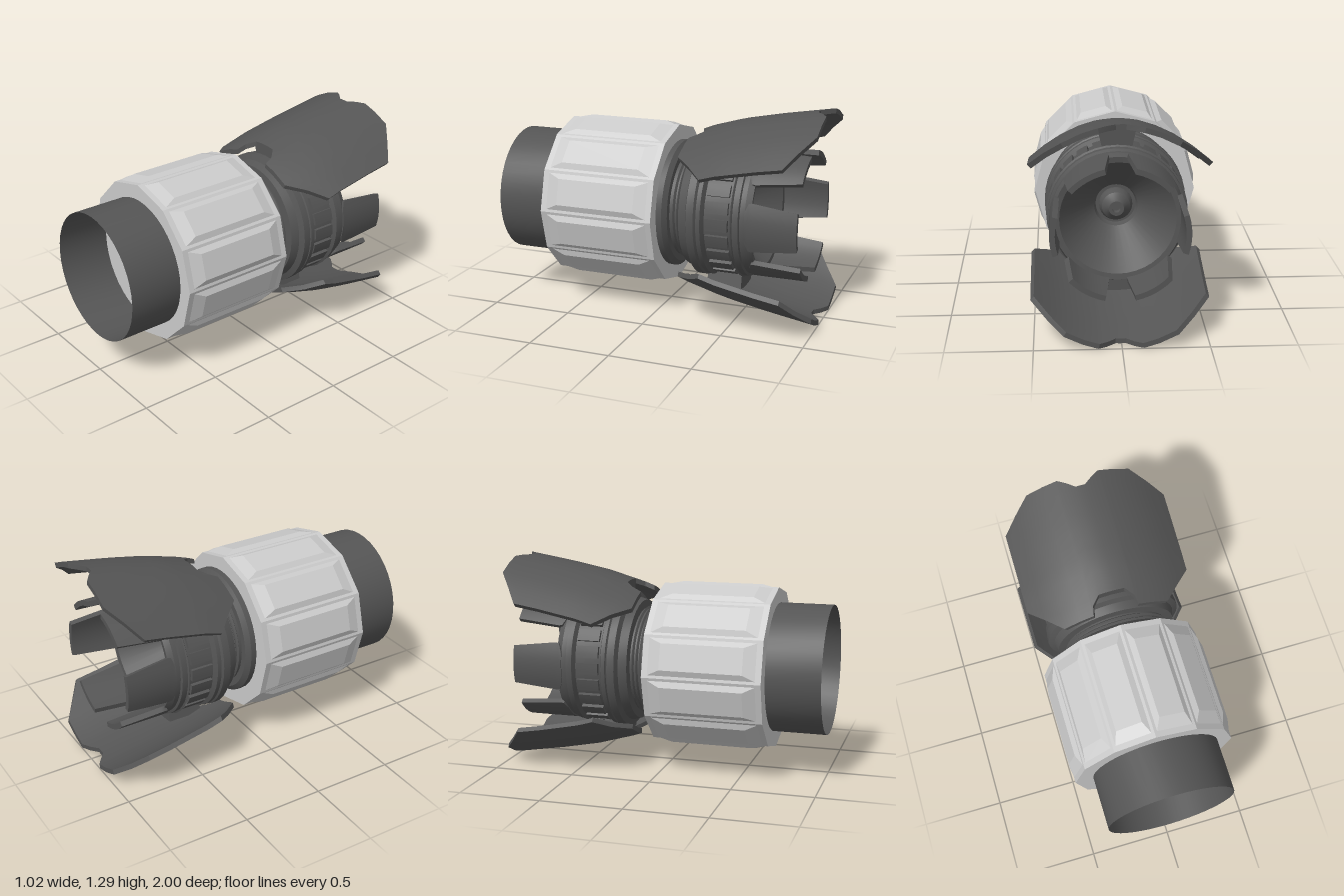
import * as THREE from 'three';
import { toCreasedNormals } from 'three/addons/utils/BufferGeometryUtils.js';

const dark = new THREE.MeshStandardMaterial({ color: 0x555555, side: THREE.DoubleSide });
const light = new THREE.MeshStandardMaterial({ color: 0xcccccc, flatShading: true });

// Piecewise-linear lookup in a list of [key, value] with rising keys
function lookup(table, k) {
  for (let i = 1; i < table.length; i++) {
    const [a, va] = table[i - 1], [b, vb] = table[i];
    if (k <= b) return THREE.MathUtils.lerp(va, vb, Math.max(0, (k - a) / (b - a)));
  }
  return table[table.length - 1][1];
}

function add(parent, name, geometry, material = dark) {
  const mesh = new THREE.Mesh(geometry, material);
  mesh.name = name;
  parent.add(mesh);
  return mesh;
}

// Solid of revolution about z from [radius, z] points
function turned(points, segments = 40) {
  const g = new THREE.LatheGeometry(points.map(([r, z]) => new THREE.Vector2(r, z)), segments);
  return toCreasedNormals(g.rotateX(Math.PI / 2), 0.4);
}

// Solid plate: place(u, v, layer) maps a unit box to [x, y, z]
function plate(nu, nv, place) {
  const g = new THREE.BoxGeometry(1, 1, 1, nu, 1, nv);
  const p = g.attributes.position;
  for (let i = 0; i < p.count; i++) {
    p.setXYZ(i, ...place(p.getX(i) + 0.5, p.getZ(i) + 0.5, p.getY(i) + 0.5));
  }
  return toCreasedNormals(g, 0.45);
}

// Plate wrapped around the z axis, centred on the upward direction
function wrapped(halfAngle, z0, z1, r0, r1, nu = 6, nv = 1) {
  return plate(nu, nv, (u, v, layer) => {
    const z = THREE.MathUtils.lerp(z0, z1, v);
    const a = (u * 2 - 1) * halfAngle(v), r = THREE.MathUtils.lerp(r0, r1, layer);
    return [r * Math.sin(a), r * Math.cos(a), z];
  });
}

// Flared guard: notched outline, arched across and swept outward to the rear
function guardGeometry() {
  const half = [0.03, 0.08, 0.128, 0.14, 0.22, 0.325, 0.42, 0.51];
  const xs = [...half.map(x => -x).reverse(), 0, ...half];
  const front = [[0, -0.27], [0.08, -0.27], [0.128, -0.22], [0.14, -0.165], [0.325, -0.165], [0.51, -0.36]];
  const back = [[0, -0.93], [0.03, -0.93], [0.12, -1], [0.33, -1], [0.51, -0.85]];
  const crown = [[0.16, 0.465], [0.21, 0.485], [0.36, 0.528], [0.45, 0.555], [0.7, 0.605], [1, 0.655]];
  const bend = 0.88, thick = 0.03;
  return plate(xs.length - 1, 10, (u, v, layer) => {
    const x = xs[Math.round(u * (xs.length - 1))], ax = Math.abs(x);
    const z = THREE.MathUtils.lerp(lookup(back, ax), lookup(front, ax), v);
    const slope = 2 * bend * x, inset = (1 - layer) * thick / Math.hypot(slope, 1);
    return [x - slope * inset, lookup(crown, -z) - bend * x * x - inset, z];
  });
}

// Faceted twelve-sided sleeve with a bevelled raised panel on every side
function sleeve() {
  const g = new THREE.Group();
  g.name = 'sleeve';
  g.position.set(-0.01, -0.005, 0);
  const body = new THREE.CylinderGeometry(0.497, 0.497, 0.72, 12).rotateX(Math.PI / 2);
  add(g, 'sleeveBody', body.translate(0, 0, 0.31), light);
  const panel = new THREE.BoxGeometry(2, 1, 2);
  const p = panel.attributes.position;
  for (let i = 0; i < p.count; i++) {
    const top = p.getY(i) > 0;
    p.setXYZ(i, p.getX(i) * (top ? 0.08 : 0.116), top ? 0.501 : 0.477, 0.31 + p.getZ(i) * (top ? 0.25 : 0.335));
  }
  for (let i = 0; i < 12; i++) {
    add(g, 'sleevePanel', panel, light).rotation.z = (i + 0.5) * Math.PI / 6;
  }
  return g;
}

export function createModel() {
  const model = new THREE.Group();
  model.name = 'thruster';
  const axis = new THREE.Group();
  axis.name = 'mainAxis';
  axis.position.set(0.005, 0.65, 0);
  model.add(axis);

  axis.add(sleeve());

  // Open front tube
  add(axis, 'frontTube', turned([[0.395, 0.65], [0.395, 1]]));

  // Rear body: funnel, rim, belt recess, threaded neck and collar in one profile
  add(axis, 'rearBody', turned([
    [0, -0.34], [0.12, -0.34], [0.13, -0.38], [0.34, -0.63], [0.375, -0.635],
    [0.39, -0.6], [0.39, -0.57], [0.405, -0.565], [0.405, -0.53], [0.415, -0.525],
    [0.385, -0.51], [0.385, -0.35], [0.42, -0.335], [0.42, -0.31], [0.41, -0.305],
    [0.425, -0.295], [0.425, -0.25], [0.39, -0.235], [0.375, -0.185], [0.325, -0.18],
    [0.325, -0.17], [0.338, -0.162], [0.325, -0.154], [0.325, -0.145], [0.338, -0.137],
    [0.325, -0.129], [0.325, -0.11], [0.365, -0.11], [0.395, -0.085], [0.395, -0.04],
  ]));

  // Nozzle inside the funnel
  add(axis, 'nozzle', turned([
    [0, -0.41], [0.025, -0.41], [0.025, -0.45], [0.045, -0.45], [0.055, -0.43],
    [0.085, -0.4], [0.1, -0.36], [0.1, -0.33],
  ], 24));

  // Blocks in the belt recess
  const block = wrapped(() => 0.09, -0.5, -0.36, 0.37, 0.405, 3);
  for (let i = 0; i < 24; i++) add(axis, 'beltBlock', block).rotation.z = i * Math.PI / 12;

  // Six tapered rear fins
  const finAngles = [[0, 0.3], [0.88, 0.385], [0.95, 0.37], [1, 0.24]];
  const fin = wrapped(v => lookup(finAngles, v), -0.915, -0.6, 0.365, 0.397, 6, 16);
  for (let i = 0; i < 6; i++) add(axis, 'rearFin', fin).rotation.z = Math.PI / 6 + i * Math.PI / 3;

  // Upper and lower guards with their mounts
  const guard = guardGeometry();
  const mount = wrapped(() => 0.22, -0.5, -0.28, 0.38, 0.5, 4);
  for (const [name, turn] of [['upper', 0], ['lower', Math.PI]]) {
    add(axis, name + 'Guard', guard).rotation.z = turn;
    add(axis, name + 'GuardMount', mount).rotation.z = turn;
  }
  return model;
}
